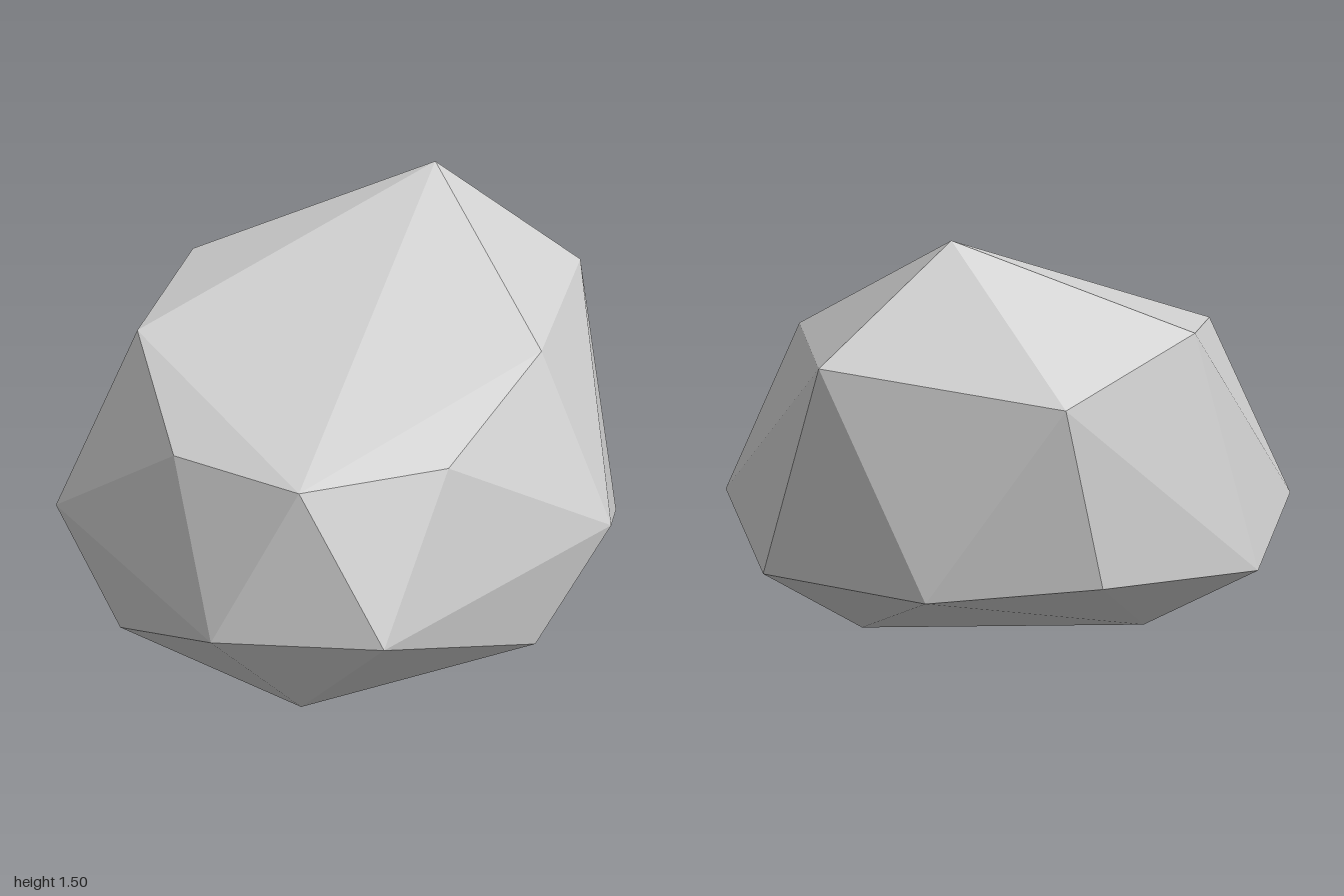
import * as THREE from 'three';
import { ConvexGeometry } from 'three/addons/geometries/ConvexGeometry.js';

export function createModel() {
  const group = new THREE.Group();
  group.name = 'boulder';
  const stone = new THREE.MeshStandardMaterial({ color: 0xd1d1d1 });
  stone.name = 'pale stone grey';

  // Corners of the faceted rock, in rings from crown to base
  const corners = [
    // crown and sloping top facet
    [0, 1.5, -0.61], [-0.74, 1.18, -0.33], [-0.59, 1.08, 0.33], [0.67, 1.07, -0.09],
    [0.34, 1.13, -0.97], [-0.49, 1.04, -0.95],
    [-0.22, 0.81, 0.77], [0.31, 0.78, 0.9], [0.64, 0.81, 0.49],
    // widest belt
    [-0.83, 0.49, 0.44], [-0.92, 0.38, -0.22], [-0.57, 0.42, -0.8], [-0.03, 0.38, -1],
    [0.6, 0.38, -0.73], [0.91, 0.51, -0.12], [0.58, 0.27, 0.82], [0.04, 0.27, 1],
    // underside
    [-0.54, 0.14, 0.54], [-0.47, 0.125, -0.01], [0.41, 0.11, -0.25],
    [0.76, 0.15, 0.12], [0.2, 0, 0.68],
  ].map((c) => new THREE.Vector3(...c));

  // The hull keeps one hard flat facet per triangle
  const rock = new THREE.Mesh(new ConvexGeometry(corners), stone);
  rock.name = 'rock';
  group.add(rock);
  return group;
}
